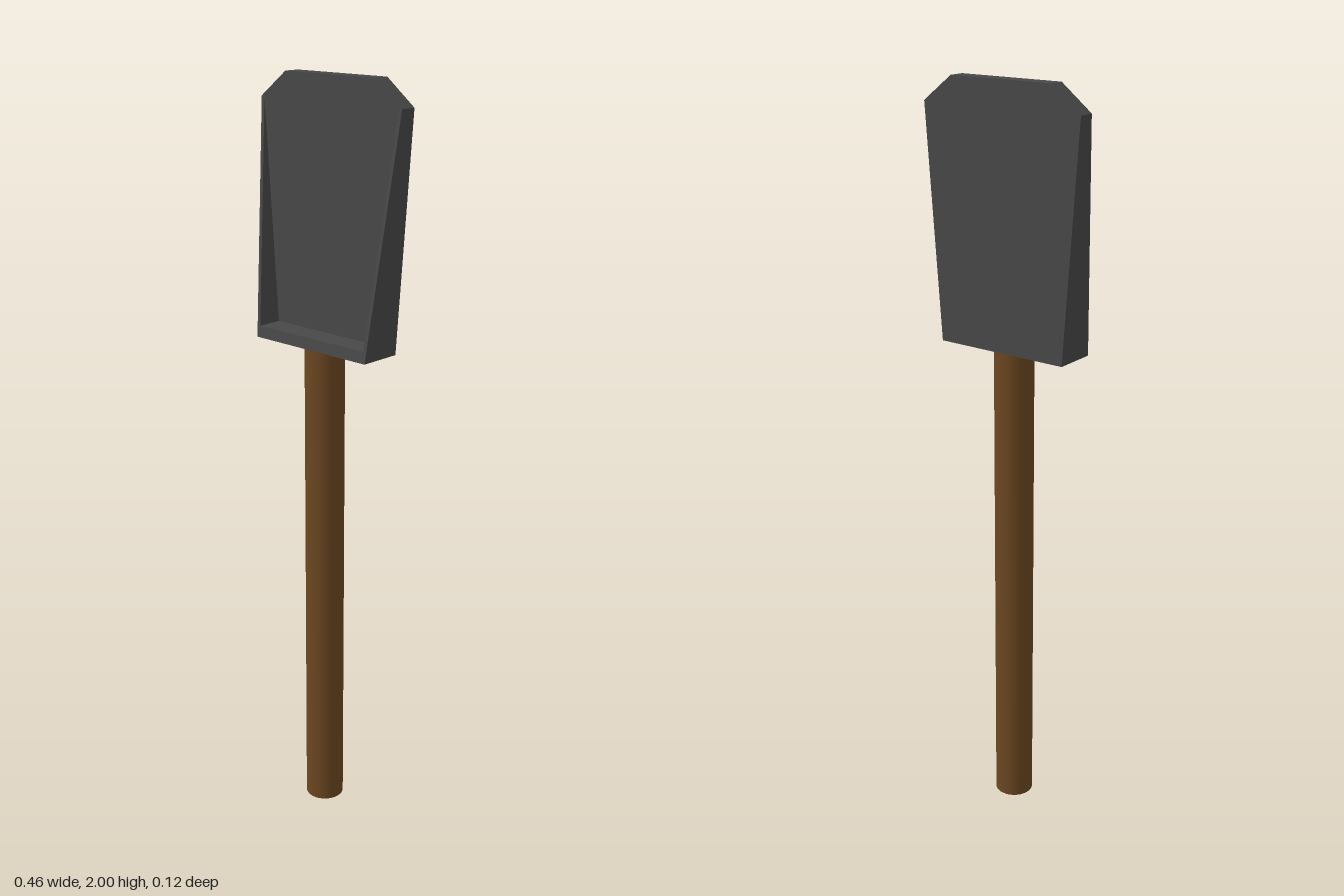
import * as THREE from 'three';

const BASE = 1.33, SHOULDER = 1.935, TOP = 2;   // heights along the scoop
const BACK = -0.058, FLOOR = -0.014, LIP = 0.058; // depths
const WALL = 0.01, LIP_HEIGHT = 0.03;

// Half width of the flaring scoop and front edge of its tapering rim at height y
const rise = (y) => (y - BASE) / (SHOULDER - BASE);
const halfWidth = (y) => THREE.MathUtils.lerp(0.188, 0.232, rise(y));
const rimZ = (y) => THREE.MathUtils.lerp(LIP, FLOOR, rise(y));

// Unit box reshaped between two heights; xAt(u, y) places u in -0.5..0.5
function taperedWall(y0, y1, xAt) {
  const geometry = new THREE.BoxGeometry(1, 1, 1).toNonIndexed();
  const p = geometry.attributes.position;
  for (let i = 0; i < p.count; i++) {
    const y = p.getY(i) < 0 ? y0 : y1;
    p.setXYZ(i, xAt(p.getX(i), y), y, p.getZ(i) < 0 ? FLOOR : rimZ(y));
  }
  geometry.computeVertexNormals();
  return geometry;
}

export function createModel() {
  const iron = new THREE.MeshStandardMaterial({ color: 0x484848 });
  iron.name = 'dark iron';
  const wood = new THREE.MeshStandardMaterial({ color: 0x6b4720 });
  wood.name = 'brown wood';

  const model = new THREE.Group();
  model.name = 'shovel';
  const add = (name, geometry, material, parent) => {
    const mesh = new THREE.Mesh(geometry, material);
    mesh.name = name;
    parent.add(mesh);
    return mesh;
  };

  // Round handle
  const handle = add('handle', new THREE.CylinderGeometry(0.052, 0.052, BASE, 32), wood, model);
  handle.position.y = BASE / 2;

  const scoop = new THREE.Group();
  scoop.name = 'scoop';
  model.add(scoop);

  // Flat blade with clipped top corners
  const outline = new THREE.Shape([
    [-0.188, BASE], [0.188, BASE], [0.232, SHOULDER],
    [0.147, TOP], [-0.147, TOP], [-0.232, SHOULDER],
  ].map(([x, y]) => new THREE.Vector2(x, y)));
  const blade = new THREE.ExtrudeGeometry(outline, { depth: FLOOR - BACK, bevelEnabled: false });
  add('blade', blade.translate(0, 0, BACK), iron, scoop);

  // Side walls that taper away towards the tip
  for (const side of [-1, 1]) {
    const wall = taperedWall(BASE, SHOULDER, (u, y) => side * (halfWidth(y) - WALL / 2) + u * WALL);
    add(side > 0 ? 'leftWall' : 'rightWall', wall, iron, scoop);
  }

  // Low wall across the handle end
  const lip = taperedWall(BASE, BASE + LIP_HEIGHT, (u, y) => 2 * u * (halfWidth(y) - WALL));
  add('baseWall', lip, iron, scoop);

  return model;
}
